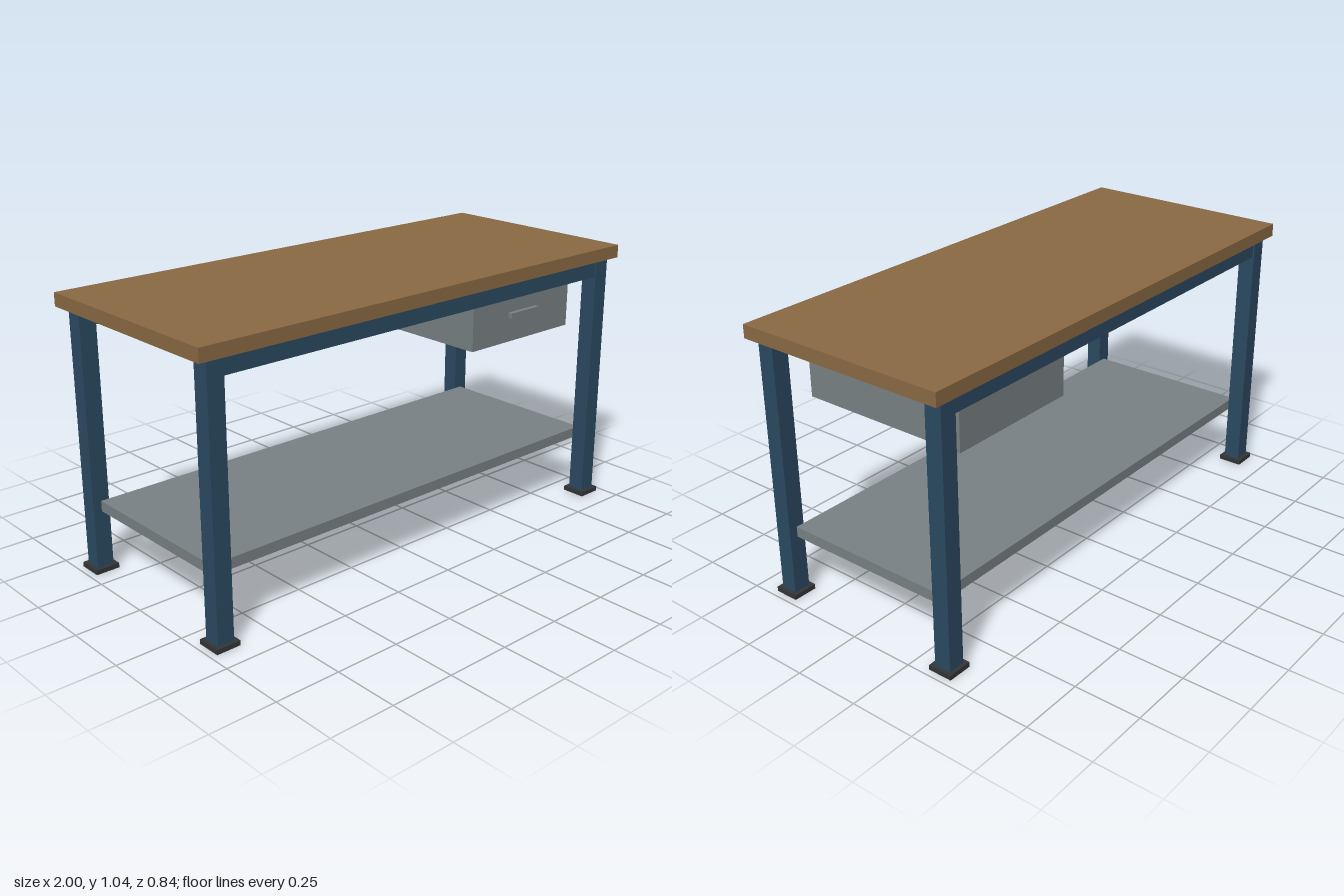
import * as THREE from 'three';

const flat = (name, color) => {
  const m = new THREE.MeshStandardMaterial({ color });
  m.name = name;
  return m;
};

export function createModel() {
  const group = new THREE.Group();
  group.name = 'workbench';

  const wood = flat('wood', 0x8b6a44);
  const blue = flat('blue steel', 0x2b4a62);
  const grey = flat('grey steel', 0x7a8285);
  const dark = flat('dark rubber', 0x333537);

  // box given by its extents on each axis
  const box = (name, mat, [x0, x1], [y0, y1], [z0, z1]) => {
    const mesh = new THREE.Mesh(new THREE.BoxGeometry(x1 - x0, y1 - y0, z1 - z0), mat);
    mesh.position.set((x0 + x1) / 2, (y0 + y1) / 2, (z0 + z1) / 2);
    mesh.name = name;
    group.add(mesh);
  };
  const around = (c, half) => [c - half, c + half];

  const legX = 0.928, legZ = 0.368;

  // worktop and lower shelf
  box('worktop', wood, [-1, 1], [0.993, 1.043], [-0.42, 0.42]);
  box('shelf', grey, [-legX, legX], [0.236, 0.276], [-0.335, 0.335]);

  // legs with foot plates, and the long rails between them
  for (const sz of [1, -1]) {
    const end = sz > 0 ? 'front' : 'back';
    for (const sx of [1, -1]) {
      const side = sx > 0 ? 'Left' : 'Right';
      box(`${end}${side}Leg`, blue, around(sx * legX, 0.0325), [0.018, 0.993], around(sz * legZ, 0.0325));
      box(`${end}${side}Foot`, dark, around(sx * legX, 0.047), [0, 0.018], around(sz * legZ, 0.047));
    }
    box(`${end}Rail`, blue, [-0.9, 0.9], [0.926, 0.986], around(sz * legZ, 0.026));
  }

  // hanging drawer with its pull
  box('drawer', grey, [0.273, 0.808], [0.737, 0.93], [-0.335, 0.335]);
  box('drawerHandle', grey, [0.465, 0.618], [0.832, 0.852], [0.335, 0.353]);

  return group;
}
